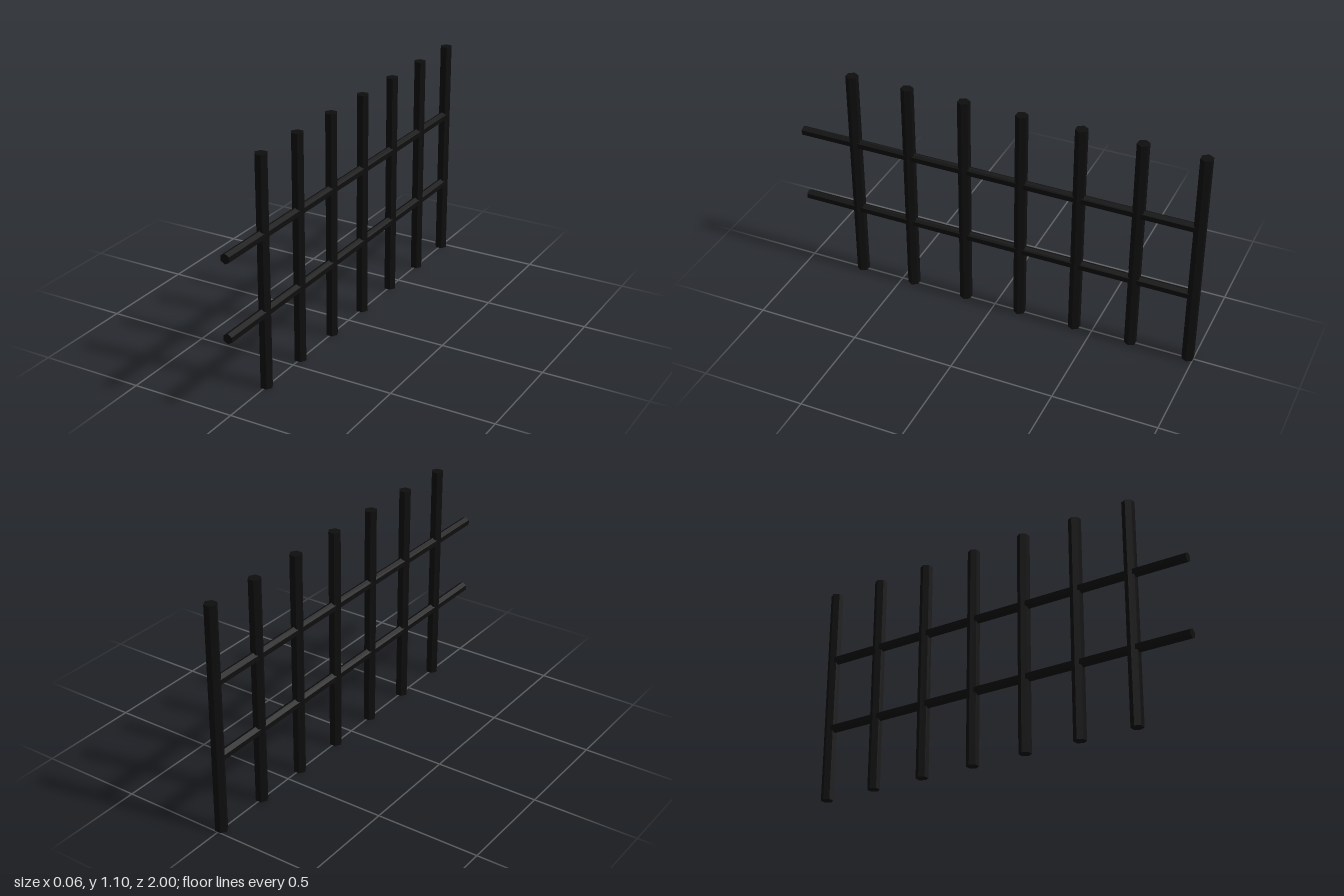
import * as THREE from 'three';

export function createModel() {
  const model = new THREE.Group();
  model.name = 'fence';
  const iron = new THREE.MeshStandardMaterial({ color: 0x0e0e0e, flatShading: true });

  const height = 1.1, postRadius = 0.03, railRadius = 0.024, postCount = 7;
  const startZ = -1 + postRadius * Math.cos(Math.PI / 6); // centre of the end post
  const railLength = 1 - startZ;
  const spacing = railLength / postCount;

  // Hexagonal upright bars, corners pointing sideways
  const postGeometry = new THREE.CylinderGeometry(postRadius, postRadius, height, 6, 1, false, Math.PI / 2);
  for (let i = 0; i < postCount; i++) {
    const post = new THREE.Mesh(postGeometry, iron);
    post.name = `post${i + 1}`;
    post.position.set(0, height / 2, startZ + i * spacing);
    model.add(post);
  }

  // Hexagonal rails, running one bay past the last post
  const railGeometry = new THREE.CylinderGeometry(railRadius, railRadius, railLength, 6).rotateX(Math.PI / 2);
  [['lowerRail', 1 / 3], ['upperRail', 2 / 3]].forEach(([name, level]) => {
    const rail = new THREE.Mesh(railGeometry, iron);
    rail.name = name;
    rail.position.set(0, height * level, startZ + railLength / 2);
    model.add(rail);
  });

  return model;
}
